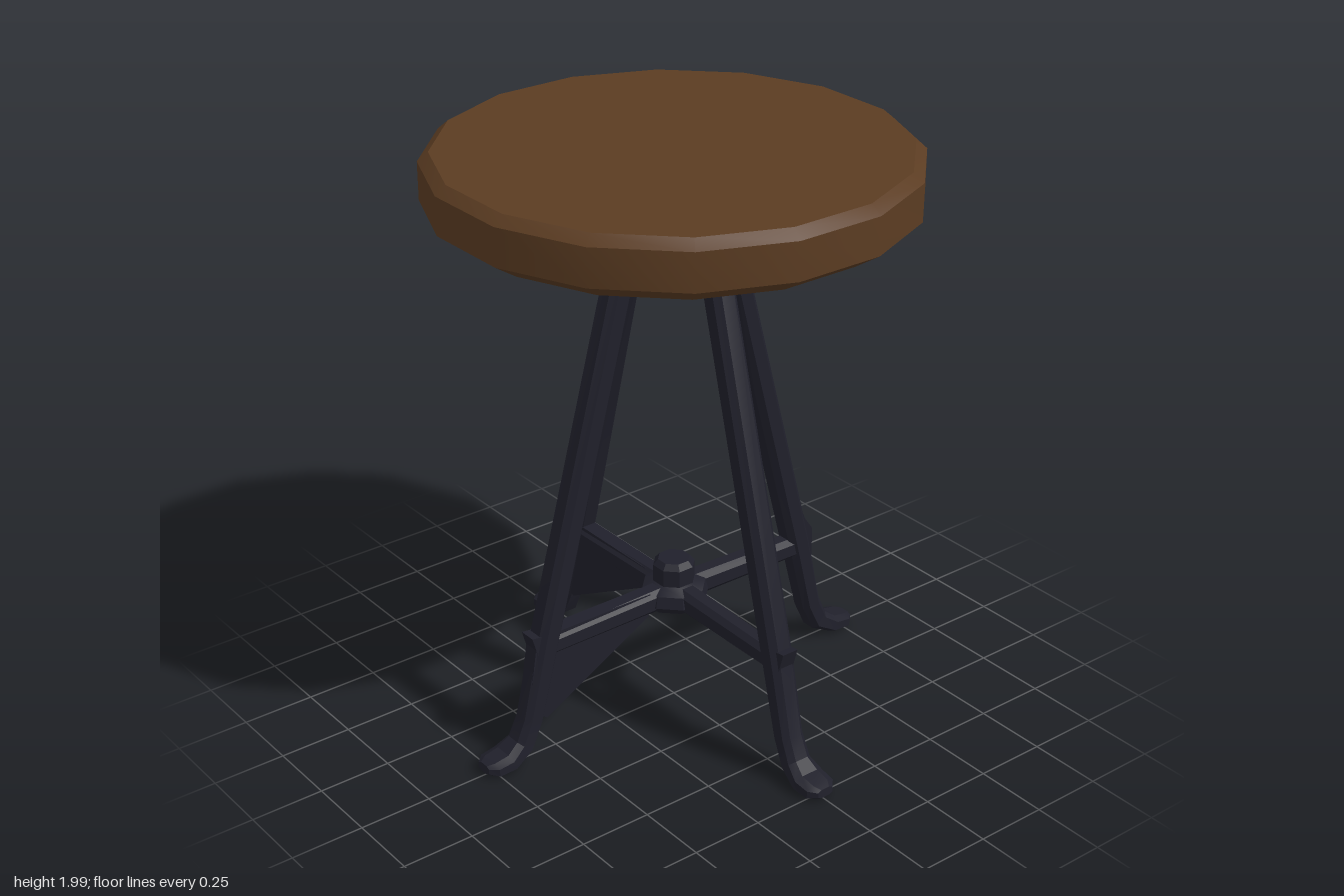
import * as THREE from 'three';
import { toCreasedNormals } from 'three/addons/utils/BufferGeometryUtils.js';

// Sweep a chamfered bar along stations [x, y, thickness, width] in the xy plane
function sweepBar(stations) {
  const pos = [], index = [], n = 8, last = stations.length - 1;
  const outline = [[.5, -.27], [.5, .27], [.27, .5], [-.27, .5], [-.5, .27], [-.5, -.27], [-.27, -.5], [.27, -.5]];
  stations.forEach(([x, y, t, w], i) => {
    const a = stations[Math.max(i - 1, 0)], b = stations[Math.min(i + 1, last)];
    const angle = Math.atan2(b[1] - a[1], b[0] - a[0]);
    for (const [u, v] of outline) pos.push(x - Math.sin(angle) * u * t, y + Math.cos(angle) * u * t, v * w);
  });
  for (let i = 0; i < last; i++) {
    for (let j = 0; j < n; j++) {
      const a = i * n + j, b = i * n + (j + 1) % n;
      index.push(a, b, b + n, a, b + n, a + n);
    }
  }
  for (let j = 1; j < n - 1; j++) {
    index.push(0, j + 1, j);
    index.push(last * n, last * n + j, last * n + j + 1);
  }
  const geo = new THREE.BufferGeometry();
  geo.setAttribute('position', new THREE.Float32BufferAttribute(pos, 3));
  geo.setIndex(index);
  return toCreasedNormals(geo, 0.4);
}

// Upright plate cut from an xy outline, centred on z = 0
function plate(points, depth) {
  const shape = new THREE.Shape(points.map(p => new THREE.Vector2(...p)));
  return new THREE.ExtrudeGeometry(shape, { depth, bevelEnabled: false }).translate(0, 0, -depth / 2);
}

function turned(points, sides) {
  const profile = points.map(p => new THREE.Vector2(...p));
  return toCreasedNormals(new THREE.LatheGeometry(profile, sides, Math.PI / sides), 0.42);
}

export function createModel() {
  const wood = new THREE.MeshStandardMaterial({ color: 0x5b3c22 });
  wood.name = 'brown wood';
  const iron = new THREE.MeshStandardMaterial({ color: 0x20202b });
  iron.name = 'dark iron';

  const model = new THREE.Group();
  model.name = 'stool';
  const add = (parent, name, geo, mat) => {
    const mesh = new THREE.Mesh(geo, mat);
    mesh.name = name;
    parent.add(mesh);
  };

  // Round seat with chamfered rims
  add(model, 'seat', turned([[0, 1.78], [.62, 1.78], [.7, 1.79], [.785, 1.845], [.785, 1.97], [.75, 2], [0, 2]], 16), wood);

  // Screw under the seat and hub where the stretchers cross
  add(model, 'seatScrew', turned([[0, 1.53], [.055, 1.53], [.065, 1.65], [.065, 1.785], [0, 1.785]], 8), iron);
  add(model, 'hub', turned([[0, .38], [.1, .385], [.12, .41], [.11, .45], [.072, .47], [.072, .53], [.055, .55], [0, .55]], 8), iron);

  // Leg arches out from the screw, runs down and turns out into a foot
  const leg = sweepBar([
    [0, 1.732, .085, .09], [.12, 1.722, .085, .09], [.175, 1.69, .085, .09], [.218, 1.62, .085, .09],
    [.535, .43, .085, .09], [.6, .16, .075, .085], [.64, .075, .075, .09],
    [.7, .04, .06, .115], [.76, .034, .05, .11], [.787, .036, .03, .06],
  ]);
  const bar = sweepBar([[0, .425, .085, .08], [.56, .415, .075, .075]]);
  const gusset = plate([[.13, .38], [.55, .15], [.62, .2], [.58, .46], [.12, .46]], .055);
  const lip = plate([[.46, .75], [.5, .45], [.59, .36], [.59, .47], [.555, .52]], .06);
  const tip = plate([[.52, .38], [.58, .4], [.6, .47], [.52, .46]], .06);

  ['left', 'back', 'right', 'front'].forEach((side, i) => {
    const group = new THREE.Group();
    group.name = side + 'Leg';
    group.rotation.y = i * Math.PI / 2;
    add(group, 'leg', leg, iron);
    add(group, 'stretcher', bar, iron);
    // Braces only on the back and right legs
    if (side === 'back' || side === 'right') add(group, 'gusset', gusset, iron);
    add(group, 'stretcherEnd', side === 'left' ? lip : tip, iron);
    model.add(group);
  });
  return model;
}
